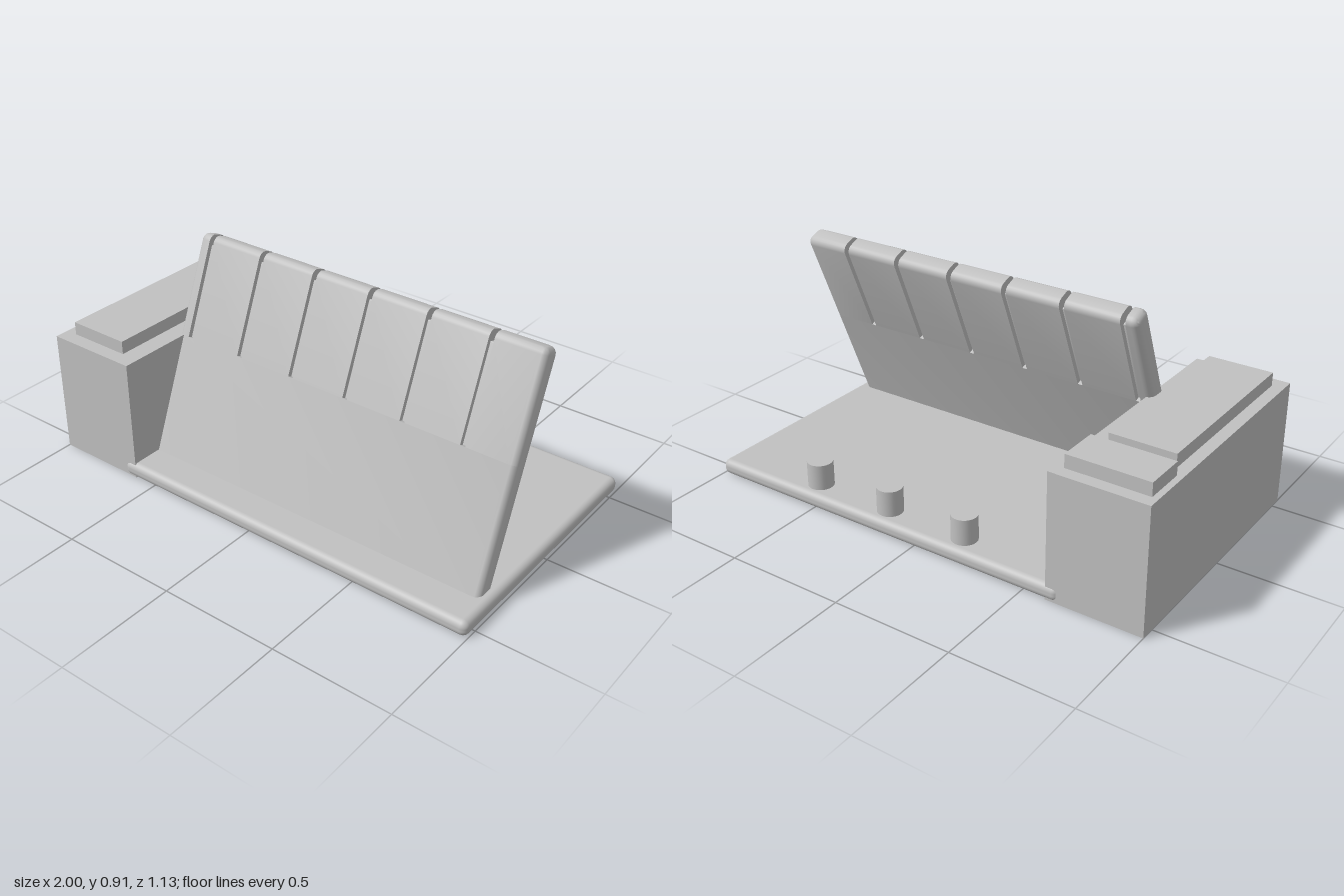
import * as THREE from 'three';
import { toCreasedNormals } from 'three/addons/utils/BufferGeometryUtils.js';
import { RoundedBoxGeometry } from 'three/addons/geometries/RoundedBoxGeometry.js';

const THICK = 0.093, TOP = 0.926, ROUND = 0.03, SLOT_BOTTOM = 0.497;
const X0 = -0.625, X1 = 0.96;

// Cross-section of the panel's upper half: up the front, over the rounded top, down the back.
function upperSection(side, top, radius) {
  const pts = [[SLOT_BOTTOM, -side]];
  const steps = 5;
  for (const [w, from] of [[-side - radius, 0], [-THICK + side + radius, Math.PI / 2]]) {
    for (let i = 0; i <= steps; i++) {
      const a = from + (i / steps) * Math.PI / 2;
      pts.push([TOP - top - radius + Math.sin(a) * radius, w + Math.cos(a) * radius]);
    }
  }
  pts.push([SLOT_BOTTOM, -THICK + side]);
  return pts;
}

function lowerSection(side) {
  const f = -side, b = -THICK + side;
  return [[-0.03, f], [SLOT_BOTTOM, f], [SLOT_BOTTOM, b], [-0.03, b]];
}

// Skin a row of [x, section] stations and close both ends.
function loft(stations) {
  const pos = [], index = [], n = stations[0][1].length;
  for (const [x, section] of stations) for (const [u, w] of section) pos.push(x, u, w);
  const last = (stations.length - 1) * n;
  for (let s = 0; s < last; s += n) {
    for (let j = 0; j < n - 1; j++) {
      const a = s + j, b = a + 1, c = a + n, d = c + 1;
      index.push(a, c, b, c, d, b);
    }
  }
  for (let k = 1; k < n - 1; k++) {
    index.push(0, k, k + 1, last, last + k + 1, last + k);
  }
  const geo = new THREE.BufferGeometry();
  geo.setAttribute('position', new THREE.Float32BufferAttribute(pos, 3));
  geo.setIndex(index);
  return toCreasedNormals(geo, 0.6);
}

// Stations for rounded side edges, with optional stations between them.
function roundedEnds(section, middle = []) {
  const start = [], end = [], steps = 5;
  for (let i = 0; i <= steps; i++) {
    const a = (i / steps) * Math.PI / 2;
    const inset = Math.min(ROUND * (1 - Math.sin(a)), ROUND * 0.97);
    const dx = ROUND * (1 - Math.cos(a));
    start.push([X0 + dx, section(inset)]);
    end.unshift([X1 - dx, section(inset)]);
  }
  return [...start, ...middle, ...end];
}

export function createModel() {
  const model = new THREE.Group();
  const grey = new THREE.MeshStandardMaterial({ color: 0xc0c0c0 });
  grey.name = 'light grey';

  const add = (name, geo, x = 0, y = 0, z = 0, parent = model) => {
    const mesh = new THREE.Mesh(geo, grey);
    mesh.name = name;
    mesh.position.set(x, y, z);
    parent.add(mesh);
    return mesh;
  };
  const block = (name, x0, x1, y0, y1, z0, z1) =>
    add(name, new THREE.BoxGeometry(x1 - x0, y1 - y0, z1 - z0),
      (x0 + x1) / 2, (y0 + y1) / 2, (z0 + z1) / 2);

  // Base plate with rounded edges
  add('basePlate', new RoundedBoxGeometry(1.655, 0.066, 1.13, 4, 0.028), 0.1715, 0.033, -0.001);

  // Side box and its two raised lids
  block('sideBox', -1, -0.6, 0, 0.525, -0.56, 0.555);
  block('longLid', -0.95, -0.68, 0.52, 0.58, -0.29, 0.495);
  block('shortLid', -0.975, -0.635, 0.52, 0.58, -0.508, -0.335);

  // Pegs along the rear edge
  for (const x of [-0.19, 0.167, 0.524]) {
    add('peg', new THREE.CylinderGeometry(0.053, 0.053, 0.125, 40), x, 0.1125, -0.48);
  }

  // Leaning panel; grooves wrap over its top edge
  const panel = new THREE.Group();
  panel.name = 'leaningPanel';
  panel.position.set(0, 0.065, 0.42);
  panel.rotation.x = -0.391;
  model.add(panel);

  const full = upperSection(0, 0, ROUND);
  const groove = upperSection(0.02, 0.045, 0.004);
  const grooves = [];
  for (let i = 0; i < 6; i++) {
    const x = -0.562 + i * 0.2612, h = 0.011;
    grooves.push([x - h, full], [x - h, groove], [x + h, groove], [x + h, full]);
  }
  add('panelLower', loft(roundedEnds(lowerSection)), 0, 0, 0, panel);
  add('panelUpper', loft(roundedEnds(i => upperSection(i, i, ROUND - i), grooves)), 0, 0, 0, panel);

  return model;
}
